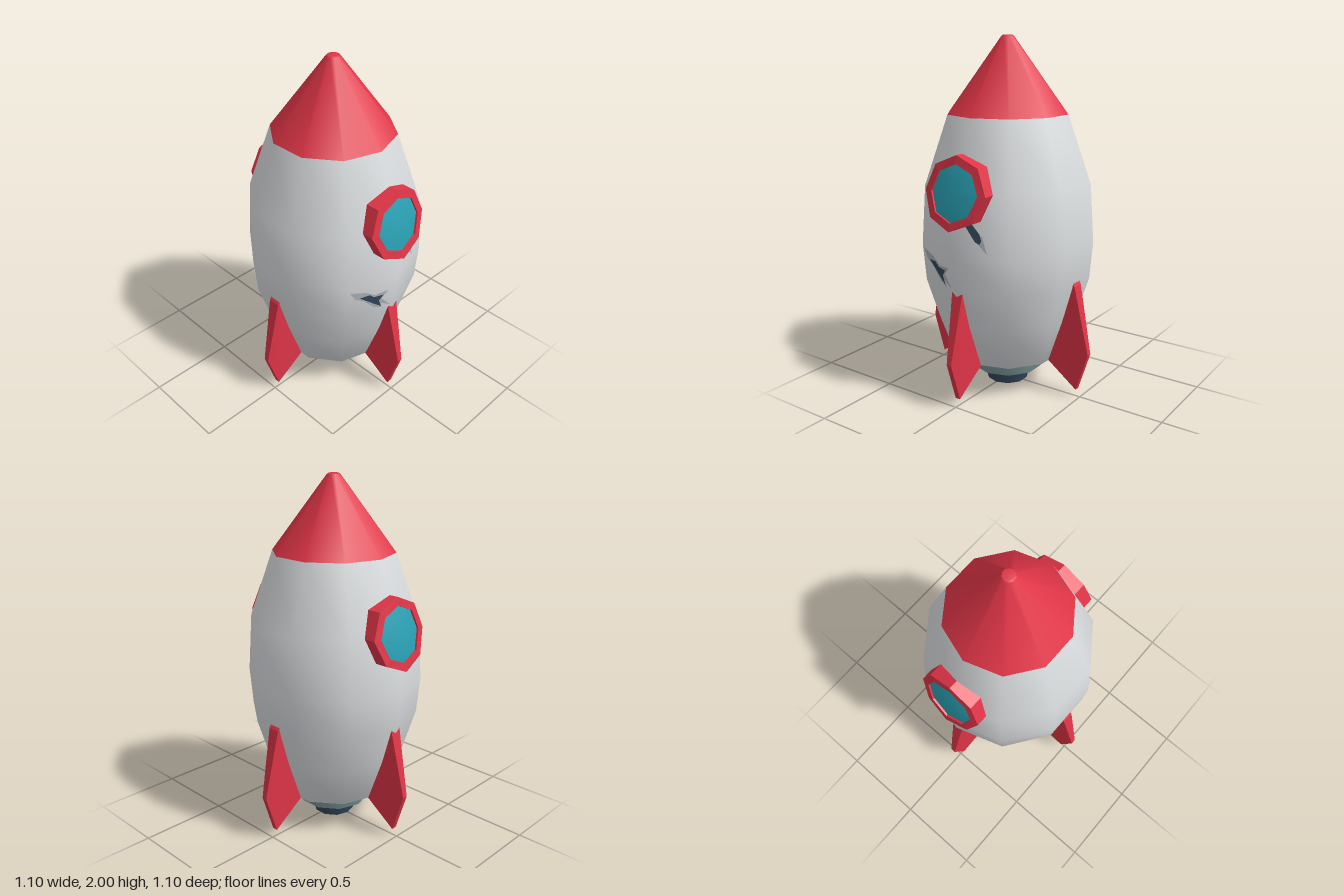
import * as THREE from 'three';

const mat = (name, color, side = THREE.FrontSide) => {
  const m = new THREE.MeshStandardMaterial({ color, side });
  m.name = name;
  return m;
};

// Hull profile as [radius, height], bottom to top
const HULL = [[0.2, 0.145], [0.23, 0.15], [0.325, 0.19], [0.41, 0.43], [0.482, 0.66],
  [0.5, 0.87], [0.478, 1.2], [0.345, 1.58]];

function hullRadius(y) {
  for (let i = 1; i < HULL.length; i++) {
    const [r0, y0] = HULL[i - 1], [r1, y1] = HULL[i];
    if (y <= y1) return r0 + (r1 - r0) * (y - y0) / (y1 - y0);
  }
  return HULL[HULL.length - 1][0];
}

const lathe = (pts) => new THREE.LatheGeometry(pts.map(([r, y]) => new THREE.Vector2(r, y)), 10);
const poly = (pts) => new THREE.Shape(pts.map(([x, y]) => new THREE.Vector2(x, y)));

// Move every vertex by a rule, then refresh the normals
function reshape(geo, rule) {
  const p = geo.attributes.position, v = new THREE.Vector3();
  for (let i = 0; i < p.count; i++) {
    rule(v.fromBufferAttribute(p, i));
    p.setXYZ(i, v.x, v.y, v.z);
  }
  geo.computeVertexNormals();
  return geo;
}

export function createModel() {
  const white = mat('hull white', 0xdcdfe1);
  const red = mat('red', 0xe03547);
  const teal = mat('window teal', 0x2aa3b6);
  const steel = mat('steel', 0x7d9899);
  const navy = mat('dark navy', 0x34485a, THREE.DoubleSide);
  const torn = mat('torn metal', 0xaeb6ba, THREE.DoubleSide);

  const rocket = new THREE.Group();
  rocket.name = 'rocket';
  const add = (name, geo, material, parent = rocket) => {
    const m = new THREE.Mesh(geo, material);
    m.name = name;
    parent.add(m);
    return m;
  };

  add('hull', lathe(HULL), white);

  // Nose cone with a small blunt tip
  add('noseCone', lathe([[0.345, 1.58], [0.036, 1.995]]), red);
  add('noseTip', lathe([[0.036, 1.995], [0.028, 2], [0, 2]]), red);

  // Engine: steel collar, dark recess and nozzle
  add('engineCollar', lathe([[0.225, 0.165], [0.225, 0.15], [0.205, 0.09]].reverse()), steel);
  add('collarRim', lathe([[0.16, 0.09], [0.205, 0.09]]), steel);
  add('nozzleSeat', lathe([[0.1, 0.088], [0.165, 0.088]]), navy);
  add('nozzle', lathe([[0.118, 0], [0.145, 0.095]]), navy);
  add('nozzleEnd', lathe([[0, 0], [0.118, 0]]), navy);

  // Fins: thick at the hull, thinner towards the outer edge
  const finShape = poly([[0.38, 0.655], [0.31, 0.19], [0.48, 0.045], [0.552, 0.27], [0.47, 0.66], [0.455, 0.685]]);
  const finGeo = reshape(
    new THREE.ExtrudeGeometry(finShape, { depth: 2, bevelEnabled: false }),
    (v) => {
      const out = ((v.x - 0.31) * 0.49 - (v.y - 0.19) * 0.15) / 0.512;
      const half = 0.036 - 0.1 * Math.max(0, out);
      v.z = (v.z - 1) * half;
    });
  ['leftFin', 'backFin', 'rightFin', 'frontFin'].forEach((name, i) => {
    add(name, finGeo, red).rotation.y = i * Math.PI / 2;
  });

  // Portholes: octagons leaned and bent to follow the hull
  const octagon = (r) => Array.from({ length: 8 }, (_, i) =>
    [r * Math.cos(i * Math.PI / 4), r * Math.sin(i * Math.PI / 4)]);
  const settle = (v) => {
    v.z += 0.497 - 0.19 * v.y - 0.5 * v.x * v.x;
    v.y += 1.205;
  };
  const frameShape = poly(octagon(0.197));
  frameShape.holes.push(new THREE.Path(octagon(0.152).reverse().map(([x, y]) => new THREE.Vector2(x, y))));
  const frameGeo = reshape(
    new THREE.ExtrudeGeometry(frameShape, { depth: 0.08, bevelEnabled: false }),
    (v) => { v.z -= 0.08; settle(v); });
  const glassGeo = reshape(new THREE.CircleGeometry(0.156, 8), (v) => {
    v.z = Math.hypot(v.x, v.y) < 0.01 ? 0.012 : -0.012;
    settle(v);
  });
  ['frontPorthole', 'backPorthole'].forEach((name, i) => {
    const g = new THREE.Group();
    g.name = name;
    g.rotation.y = i * Math.PI;
    add('frame', frameGeo, red, g);
    add('glass', glassGeo, teal, g);
    rocket.add(g);
  });

  // Battle damage: jagged patches laid on the front hull facets
  const patch = (name, pts, lift, material) => add(name,
    reshape(new THREE.ShapeGeometry(poly(pts)), (v) => {
      v.z = hullRadius(v.y) - Math.tan(Math.PI / 10) * Math.abs(v.x) + lift;
    }), material);
  patch('gashEdge', [[-0.28, 0.855], [-0.25, 0.8], [-0.195, 0.765], [-0.13, 0.695], [-0.08, 0.675],
    [-0.1, 0.715], [-0.03, 0.675], [-0.09, 0.745], [-0.05, 0.79], [-0.13, 0.785], [-0.19, 0.825]], 0.004, torn);
  patch('gash', [[-0.225, 0.8], [-0.17, 0.755], [-0.13, 0.72], [-0.085, 0.685], [-0.105, 0.735],
    [-0.08, 0.77], [-0.14, 0.775], [-0.165, 0.8]], 0.007, navy);
  patch('scratchEdge', [[0.1, 0.98], [0.18, 0.895], [0.15, 0.99]], 0.004, torn);
  patch('scratch', [[0.05, 1.06], [0.115, 0.96], [0.14, 0.945], [0.15, 0.965], [0.14, 1.0], [0.09, 1.06]], 0.007, navy);

  return rocket;
}
